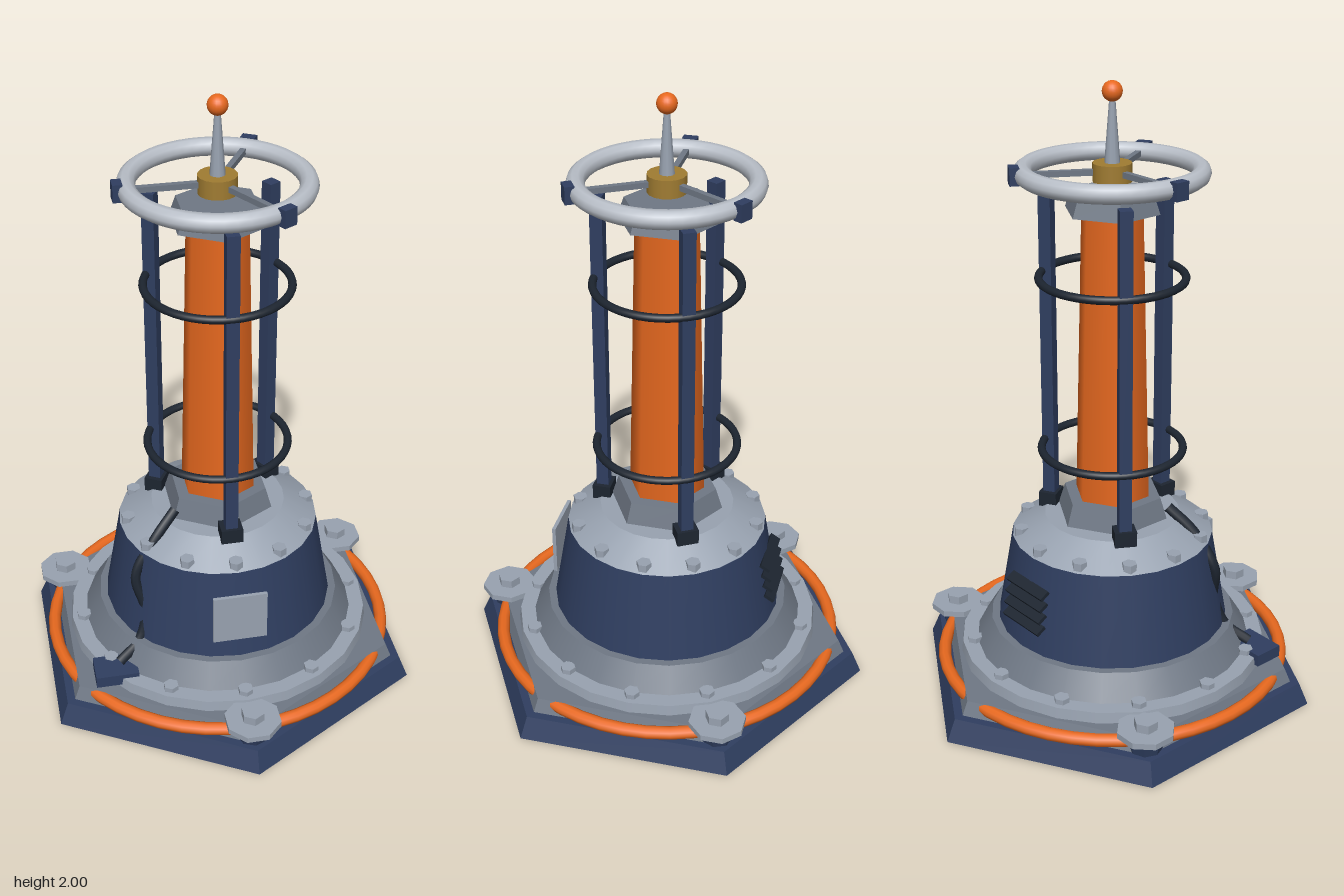
import * as THREE from 'three';

const paint = (color, flat = false) =>
  new THREE.MeshStandardMaterial({ color, flatShading: flat });
const navy = paint(0x2f3e60), navyFlat = paint(0x2f3e60, true);
const grey = paint(0x6f7885), greyFlat = paint(0x6f7885, true);
const light = paint(0x98a2b0), lightFlat = paint(0x98a2b0, true);
const pale = paint(0xb9bfc8), orange = paint(0xe8691f);
const brass = paint(0xa07c32), dark = paint(0x1d2530);

export function createModel() {
  const model = new THREE.Group();

  const add = (name, geometry, material, x = 0, y = 0, z = 0, parent = model) => {
    const mesh = new THREE.Mesh(geometry, material);
    mesh.name = name;
    mesh.position.set(x, y, z);
    parent.add(mesh);
    return mesh;
  };
  // Tapered drum between two heights
  const drum = (name, y0, r0, y1, r1, sides, material, x = 0, z = 0) =>
    add(name, new THREE.CylinderGeometry(r1, r0, y1 - y0, sides), material, x, (y0 + y1) / 2, z);
  const ring = (name, r, tube, y, material, sides = 48) =>
    add(name, new THREE.TorusGeometry(r, tube, 10, sides).rotateX(Math.PI / 2), material, 0, y, 0);
  // Calls fn with the position and heading of each of n places around the axis
  const around = (n, r, start, fn) => {
    for (let i = 0; i < n; i++) {
      const a = start + (i * 2 * Math.PI) / n;
      fn(Math.sin(a) * r, Math.cos(a) * r, a);
    }
  };

  // Hexagonal base with a buoyant rim
  drum('basePlate', 0.003, 0.682, 0.075, 0.65, 6, navyFlat);
  drum('baseDeck', 0.075, 0.62, 0.12, 0.6, 6, greyFlat);
  ring('bumperRing', 0.567, 0.021, 0.1, orange);

  // Stepped round plinth, body and shoulder
  drum('flange', 0.12, 0.51, 0.155, 0.505, 24, light);
  drum('plinth', 0.155, 0.455, 0.235, 0.405, 24, grey);
  drum('body', 0.235, 0.38, 0.535, 0.328, 24, navy);
  drum('shoulder', 0.535, 0.328, 0.6, 0.22, 24, light);
  around(12, 0.465, 0, (x, z) => drum('flangeBolt', 0.15, 0.025, 0.172, 0.025, 6, lightFlat, x, z));
  around(12, 0.3, 0, (x, z) => drum('shoulderBolt', 0.53, 0.024, 0.565, 0.024, 6, lightFlat, x, z));

  // Anchor lugs on three corners
  around(3, 0.575, 0, (x, z) => {
    drum('lugStem', 0, 0.035, 0.13, 0.065, 8, navyFlat, x, z);
    drum('lugPad', 0.127, 0.092, 0.147, 0.092, 8, lightFlat, x, z).rotation.y = Math.PI / 8;
    drum('lugNut', 0.147, 0.038, 0.176, 0.038, 6, lightFlat, x, z);
  });

  // Access panel in front, louvres behind
  add('accessPanel', new THREE.BoxGeometry(0.175, 0.175, 0.012), light, 0, 0.388, 0.37);
  for (let i = 0; i < 4; i++) {
    const slat = add('louvre', new THREE.BoxGeometry(0.18, 0.012, 0.036), dark,
      0, 0.325 + i * 0.04, -0.37 + i * 0.006);
    slat.rotation.x = -0.55;
  }

  // Junction box and its cable
  add('junctionBox', new THREE.BoxGeometry(0.14, 0.04, 0.1), navy, -0.395, 0.15, 0.28);
  const cable = new THREE.CatmullRomCurve3([
    [-0.16, 0.64, 0.1], [-0.235, 0.565, 0.145], [-0.305, 0.45, 0.175],
    [-0.28, 0.32, 0.2], [-0.31, 0.22, 0.23], [-0.38, 0.175, 0.27],
  ].map((p) => new THREE.Vector3(...p)));
  add('cable', new THREE.TubeGeometry(cable, 32, 0.017, 8), dark);

  // Hexagonal column
  drum('columnFoot', 0.59, 0.19, 0.67, 0.165, 6, greyFlat);
  drum('column', 0.66, 0.125, 1.615, 0.1, 6, orange);
  drum('columnCap', 1.61, 0.153, 1.67, 0.132, 6, greyFlat);

  // Cage of three posts and two hoops
  around(3, 0.215, 0, (x, z, a) => {
    add('postFoot', new THREE.BoxGeometry(0.07, 0.05, 0.06), dark, x, 0.615, z).rotation.y = a;
    add('post', new THREE.BoxGeometry(0.04, 1.07, 0.04), navy, x, 1.135, z).rotation.y = a;
  });
  ring('lowerHoop', 0.227, 0.013, 0.83, dark);
  ring('upperHoop', 0.227, 0.013, 1.4, dark);

  // Top wheel: rim, spokes, clips and hub
  ring('wheelRim', 0.268, 0.029, 1.73, pale);
  around(3, 0.296, -Math.PI / 2, (x, z, a) => {
    add('rimClip', new THREE.BoxGeometry(0.046, 0.055, 0.03), navy, x, 1.73, z).rotation.y = a;
    add('spoke', new THREE.BoxGeometry(0.018, 0.018, 0.2), grey, x * 0.53, 1.73, z * 0.53).rotation.y = a;
  });
  drum('hub', 1.7, 0.06, 1.757, 0.06, 16, brass);

  // Antenna with ball tip
  drum('antenna', 1.755, 0.024, 1.95, 0.009, 10, light);
  add('antennaTip', new THREE.SphereGeometry(0.031, 20, 14), orange, 0, 1.969, 0);

  return model;
}
